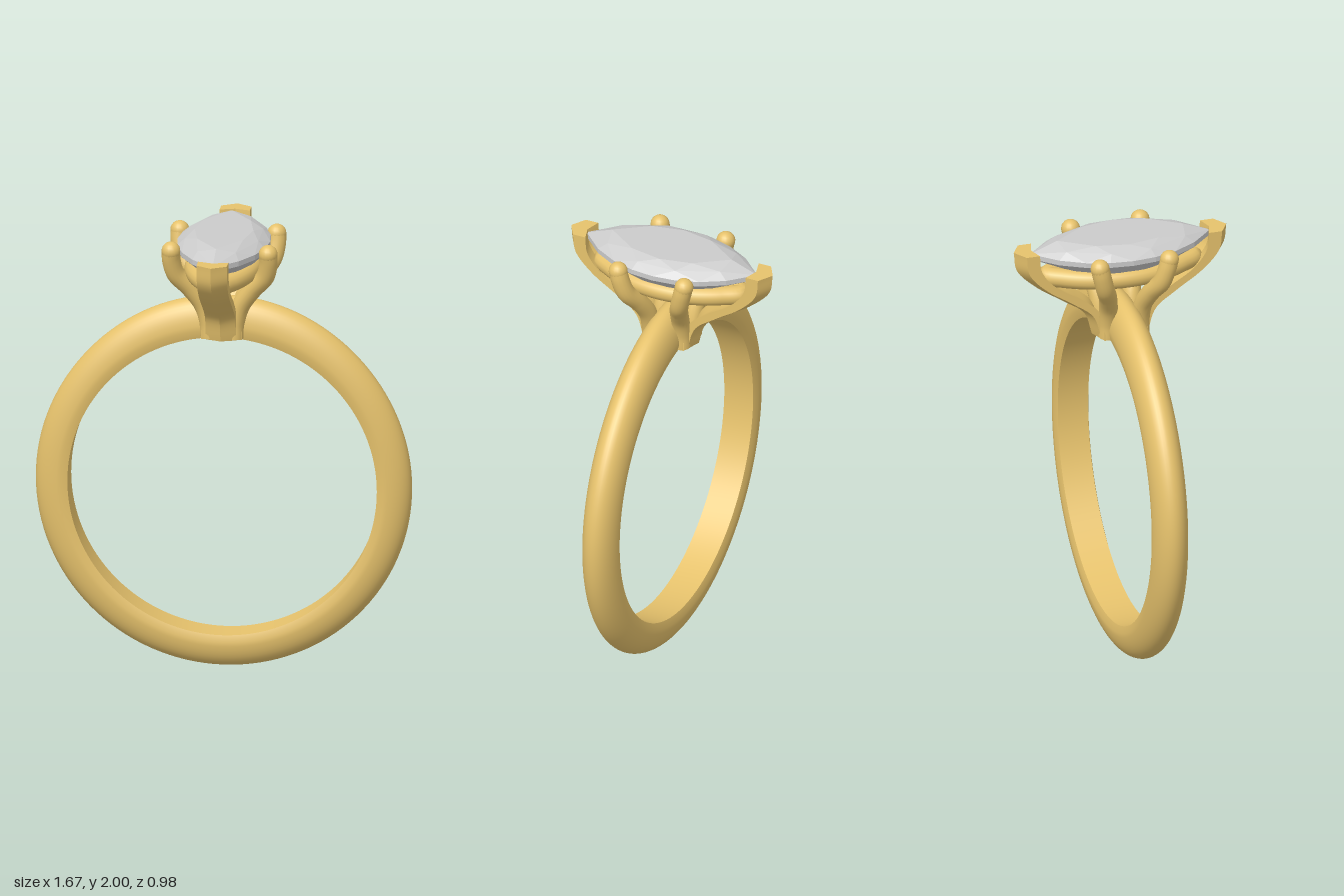
import * as THREE from 'three';
import { toCreasedNormals } from 'three/addons/utils/BufferGeometryUtils.js';
import { ConvexGeometry } from 'three/addons/geometries/ConvexGeometry.js';

const gold = new THREE.MeshStandardMaterial({ color: 0xe6c26c });
const stone = new THREE.MeshStandardMaterial({ color: 0xcccccc, flatShading: true });
const V = (x, y, z) => new THREE.Vector3(x, y, z);

function add(parent, name, geometry, material = gold) {
  const mesh = new THREE.Mesh(geometry, material);
  mesh.name = name;
  parent.add(mesh);
  return mesh;
}

// Pointed oval of half length a (z) and half width b (x): two mirrored arcs of n steps each
function marquise(a, b, y, n, shift = 0) {
  const R = (a * a + b * b) / (2 * b), pts = [];
  for (const s of [1, -1]) {
    for (let i = 0; i < n; i++) {
      const z = s * a * (-1 + 2 * (i + shift) / n);
      pts.push(V(s * (Math.sqrt(R * R - z * z) - (R - b)), y, z));
    }
  }
  return pts;
}

// D-section band, flat inside, slightly thicker towards the top
function bandGeometry() {
  const inner = 0.685, profile = [new THREE.Vector2(inner, -0.07)];
  for (let i = 0; i <= 20; i++) {
    const t = -Math.PI / 2 + Math.PI * i / 20;
    profile.push(new THREE.Vector2(0.715 + 0.118 * Math.cos(t), 0.08 * Math.sin(t)));
  }
  profile.push(new THREE.Vector2(inner, 0.07), new THREE.Vector2(inner, -0.07));
  const g = new THREE.LatheGeometry(profile, 128).rotateX(Math.PI / 2);
  const p = g.attributes.position;
  for (let i = 0; i < p.count; i++) {
    const x = p.getX(i), y = p.getY(i), r = Math.hypot(x, y), s = y / r;
    const grow = s > 0 ? 0.18 * s ** 4 : 0.04 * s * s;
    const k = (r + (r - inner) * grow) / r;
    p.setXY(i, x * k, y * k);
  }
  return toCreasedNormals(g, 0.6).translate(0, 0.84, 0);
}

// V-shaped claw: a ridged, notched section swept between an outer and an inner curve
function clawGeometry() {
  const curve = (list) => new THREE.CatmullRomCurve3(list.map(([z, y]) => V(0, y, z)));
  const outer = curve([[0.49, 1.97], [0.475, 1.88], [0.39, 1.79], [0.26, 1.7], [0.165, 1.63], [0.13, 1.525]]);
  const inner = curve([[0.39, 1.97], [0.38, 1.89], [0.32, 1.81], [0.2, 1.73], [0.11, 1.65], [0.07, 1.525]]);
  const w = 0.067, rows = 28;
  // x offset and fraction of the way from inner to outer curve
  const section = [[0, 1], [-w, 0.6], [-w, 0], [0, 0.2], [w, 0], [w, 0.6]];
  const n = section.length, pos = [], idx = [];
  for (let i = 0; i <= rows; i++) {
    const a = inner.getPoint(i / rows), b = outer.getPoint(i / rows);
    for (const [x, f] of section) pos.push(x, a.y + (b.y - a.y) * f, a.z + (b.z - a.z) * f);
  }
  for (let i = 0; i < rows; i++) {
    for (let k = 0; k < n; k++) {
      const a = i * n + k, b = i * n + (k + 1) % n;
      idx.push(a, b, b + n, a, b + n, a + n);
    }
  }
  const end = rows * n;
  for (let k = 1; k < n - 1; k++) idx.push(0, k + 1, k, end, end + k, end + k + 1);
  const g = new THREE.BufferGeometry();
  g.setAttribute('position', new THREE.Float32BufferAttribute(pos, 3));
  g.setIndex(idx);
  return toCreasedNormals(g, 0.4);
}

export function createModel() {
  const ring = new THREE.Group();
  ring.name = 'ring';

  add(ring, 'band', bandGeometry());

  // Faceted marquise-cut stone: table, crown, girdle, pavilion, culet
  const facets = [
    ...marquise(0.29, 0.13, 2.0, 4),
    ...marquise(0.365, 0.172, 1.981, 4, 0.5),
    ...marquise(0.415, 0.205, 1.953, 8),
    ...marquise(0.415, 0.205, 1.93, 8),
    ...marquise(0.25, 0.125, 1.85, 4, 0.5),
    V(0, 1.765, 0),
  ];
  add(ring, 'gemstone', new ConvexGeometry(facets), stone);

  // Gallery rail under the stone
  const railPath = new THREE.CatmullRomCurve3(marquise(0.335, 0.128, 1.837, 10), true);
  add(ring, 'galleryRail', new THREE.TubeGeometry(railPath, 96, 0.043, 14, true));

  // Pointed claws at both tips of the stone
  const claw = clawGeometry();
  for (const [name, turn] of [['frontClaw', 0], ['backClaw', Math.PI]]) {
    add(ring, name, claw).rotation.y = turn;
  }

  // Four round side prongs with domed tips
  for (const sx of [1, -1]) {
    for (const sz of [1, -1]) {
      const prong = new THREE.Group();
      prong.name = (sz > 0 ? 'front' : 'back') + (sx > 0 ? 'Left' : 'Right') + 'Prong';
      const path = new THREE.CatmullRomCurve3([
        [0.055, 1.53, 0.075], [0.06, 1.6, 0.075], [0.085, 1.68, 0.08], [0.14, 1.76, 0.1],
        [0.198, 1.83, 0.13], [0.215, 1.9, 0.15], [0.215, 1.943, 0.16],
      ].map(([x, y, z]) => V(sx * x, y, sz * z)));
      add(prong, 'prongStem', new THREE.TubeGeometry(path, 36, 0.041, 16));
      add(prong, 'prongTip', new THREE.SphereGeometry(0.042, 18, 12)).position.set(sx * 0.215, 1.943, sz * 0.16);
      ring.add(prong);
    }
  }

  // Foot joining the prongs beneath the band
  add(ring, 'settingFoot', new THREE.BoxGeometry(0.18, 0.04, 0.2)).position.y = 1.545;

  return ring;
}
